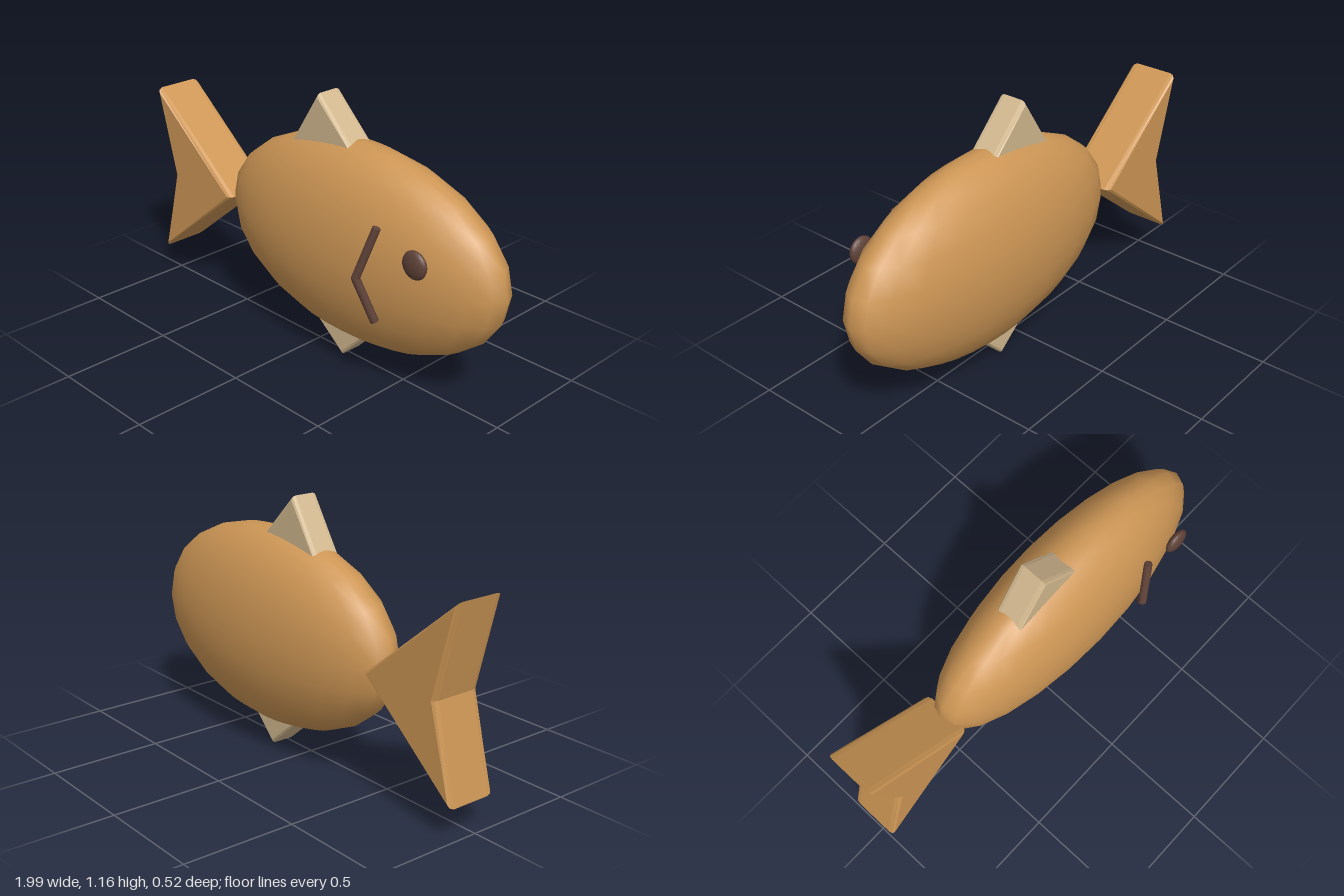
import * as THREE from 'three';

const paint = (name, color) => {
  const m = new THREE.MeshStandardMaterial({ color });
  m.name = name;
  return m;
};

export function createModel() {
  const fish = new THREE.Group();
  fish.name = 'fish';
  const golden = paint('golden brown', 0xcd9655);
  const tan = paint('tan', 0xd2b88f);
  const dark = paint('dark brown', 0x5f4238);

  const add = (name, geometry, material, x = 0, y = 0, z = 0) => {
    const mesh = new THREE.Mesh(geometry, material);
    mesh.name = name;
    mesh.position.set(x, y, z);
    fish.add(mesh);
    return mesh;
  };

  // Bevelled plate with the given outline, centred between its two faces
  const plate = (outline, depth, bevelThickness, bevelSize) => {
    const shape = new THREE.Shape(outline.map(([x, y]) => new THREE.Vector2(x, y)));
    return new THREE.ExtrudeGeometry(shape, {
      depth: depth - 2 * bevelThickness, bevelThickness, bevelSize,
      bevelOffset: -bevelSize, bevelSegments: 2,
    }).translate(0, 0, bevelThickness - depth / 2);
  };

  // Body
  add('body', new THREE.SphereGeometry(1, 24, 12).scale(0.77, 0.445, 0.235), golden, 0.22, 0.545, -0.025);

  // Forked tail
  add('tail', plate([[-1, 0.95], [-0.9, 0.545], [-1, 0.14], [-0.5, 0.545]], 0.23, 0.025, 0.016), golden, 0, 0, -0.03);

  // Fins, with their bases sunk into the body
  add('topFin', plate([[-0.16, 0.87], [0.28, 0.9], [0.022, 1.157]], 0.13, 0.02, 0.013), tan, 0, 0, -0.022);
  add('bottomFin', plate([[-0.06, 0.2], [0.175, 0], [0.37, 0.2]], 0.13, 0.02, 0.013), tan, 0, 0, -0.022);

  // Eye
  add('eye', new THREE.SphereGeometry(1, 16, 12).scale(0.06, 0.06, 0.025), dark, 0.705, 0.675, 0.19);

  // Gill mark: two rods meeting at an elbow
  const elbow = new THREE.Vector3(0.444, 0.543, 0.24);
  const up = new THREE.Vector3(0, 1, 0);
  for (const [name, y] of [['upperGill', 0.765], ['lowerGill', 0.355]]) {
    const end = new THREE.Vector3(0.507, y, 0.192);
    const along = end.clone().sub(elbow);
    const rod = add(name, new THREE.CylinderGeometry(0.018, 0.018, along.length(), 10), dark);
    rod.position.copy(elbow).add(end).multiplyScalar(0.5);
    rod.quaternion.setFromUnitVectors(up, along.normalize());
  }
  add('gillElbow', new THREE.SphereGeometry(0.018, 10, 8), dark, ...elbow.toArray());

  return fish;
}
